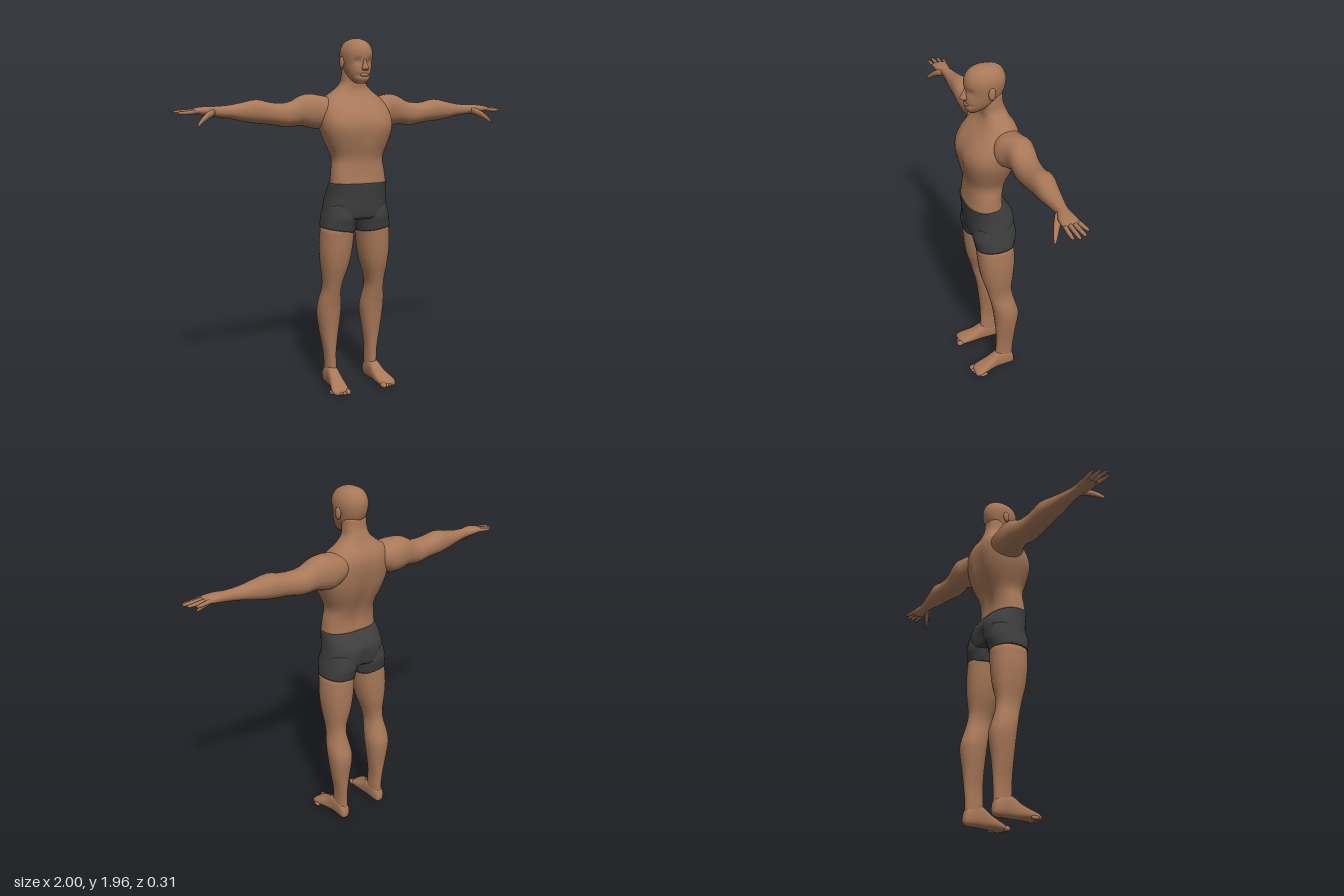
import * as THREE from 'three';

const skin = new THREE.MeshStandardMaterial({ color: 0xa87858 });
skin.name = 'skin';
const cloth = new THREE.MeshStandardMaterial({ color: 0x3e3e3f });
cloth.name = 'dark cloth';

// Places (along-axis t, first a, second b) in space for each loft axis
const place = {
  y: (t, a, b) => new THREE.Vector3(a, t, b), // rows: y, x0, x1, z0, z1
  x: (t, a, b) => new THREE.Vector3(t, b, a), // rows: x, z0, z1, y0, y1
  z: (t, a, b) => new THREE.Vector3(b, a, t), // rows: z, y0, y1, x0, x1
};

// Smooth closed skin through superellipse rings given by their extents
function loft(axis, rows, { n = 28, sub = 4, e = 2.2, shape = null } = {}) {
  const rings = [];
  for (let i = 0; i < rows.length - 1; i++) {
    const p = [rows[Math.max(i - 1, 0)], rows[i], rows[i + 1], rows[Math.min(i + 2, rows.length - 1)]];
    for (let s = 0; s < sub; s++) {
      const u = s / sub;
      rings.push(rows[i].map((v, k) => {
        if (k === 0) return v + (rows[i + 1][0] - v) * u;
        const m0 = (p[2][k] - p[0][k]) / (p[2][0] - p[0][0]) * (p[2][0] - p[1][0]);
        const m1 = (p[3][k] - p[1][k]) / (p[3][0] - p[1][0]) * (p[2][0] - p[1][0]);
        const u2 = u * u, u3 = u2 * u;
        return (2 * u3 - 3 * u2 + 1) * v + (u3 - 2 * u2 + u) * m0 + (3 * u2 - 2 * u3) * p[2][k] + (u3 - u2) * m1;
      }));
    }
  }
  rings.push(rows[rows.length - 1]);
  const pos = [], idx = [];
  const put = (t, a, b) => {
    const v = place[axis](t, a, b);
    if (shape) shape(v);
    pos.push(v.x, v.y, v.z);
  };
  const power = (c) => Math.sign(c) * Math.pow(Math.abs(c), 2 / e);
  for (const [t, a0, a1, b0, b1] of rings) {
    for (let j = 0; j < n; j++) {
      const q = (j / n) * Math.PI * 2;
      put(t, (a0 + a1) / 2 + (a1 - a0) / 2 * power(Math.cos(q)), (b0 + b1) / 2 + (b1 - b0) / 2 * power(Math.sin(q)));
    }
  }
  const last = rings.length - 1, c0 = rings.length * n;
  for (const r of [rings[0], rings[last]]) put(r[0], (r[1] + r[2]) / 2, (r[3] + r[4]) / 2);
  for (let j = 0; j < n; j++) {
    const k = (j + 1) % n;
    for (let i = 0; i < last; i++) {
      const a = i * n + j, b = i * n + k;
      idx.push(a, a + n, b, b, a + n, b + n);
    }
    idx.push(c0, j, k, c0 + 1, last * n + k, last * n + j);
  }
  const g = new THREE.BufferGeometry();
  g.setAttribute('position', new THREE.Float32BufferAttribute(pos, 3));
  g.setIndex(idx);
  g.computeVertexNormals();
  return g;
}

// Mirrored copy across x = 0, with the corner order turned round
function mirror(geo) {
  const g = geo.clone();
  const p = g.attributes.position;
  for (let i = 0; i < p.count; i++) p.setX(i, -p.getX(i));
  const ix = g.index.array;
  for (let i = 0; i < ix.length; i += 3) [ix[i], ix[i + 1]] = [ix[i + 1], ix[i]];
  g.computeVertexNormals();
  return g;
}

const bump = (v, c, w) => Math.exp(-(((v - c) / w) ** 2));

export function createModel() {
  const model = new THREE.Group();
  model.name = 'man';
  const add = (name, geo, mat = skin) => {
    const m = new THREE.Mesh(geo, mat);
    m.name = name;
    model.add(m);
  };
  const pair = (name, geo, mat = skin) => {
    add('left' + name, geo, mat);
    add('right' + name, mirror(geo), mat);
  };
  const ball = (x, y, z, rx, ry, rz) =>
    new THREE.SphereGeometry(1, 14, 10).scale(rx, ry, rz).translate(x, y, z);

  // Torso with neck; grooves for the spine and the breastbone
  add('torso', loft('y', [
    [1.175, -.163, .163, -.07, .13], [1.25, -.155, .155, -.068, .12], [1.32, -.147, .147, -.085, .118],
    [1.4, -.178, .178, -.118, .138], [1.46, -.2, .2, -.138, .15], [1.51, -.208, .208, -.148, .148],
    [1.56, -.205, .205, -.154, .125], [1.61, -.19, .19, -.152, .085], [1.65, -.16, .16, -.138, .05],
    [1.685, -.112, .112, -.115, .03], [1.72, -.075, .075, -.1, .027], [1.76, -.066, .066, -.085, .03],
    [1.81, -.062, .062, -.08, .03],
  ], {
    n: 40, e: 2.4, shape: (v) => {
      if (v.z < -.04) v.z += .016 * bump(v.x, 0, .035) * bump(v.y, 1.42, .2);
      if (v.z > .04) v.z -= .01 * bump(v.x, 0, .025) * bump(v.y, 1.48, .09);
    },
  }));

  // Head with eye hollows
  add('head', loft('y', [
    [1.722, -.026, .026, .045, .098], [1.745, -.046, .046, -.01, .113], [1.78, -.064, .064, -.06, .115],
    [1.82, -.075, .075, -.088, .113], [1.87, -.083, .083, -.1, .117], [1.905, -.08, .08, -.097, .112],
    [1.935, -.065, .065, -.082, .092], [1.952, -.046, .046, -.062, .066], [1.962, -.02, .02, -.03, .035],
  ], {
    n: 36, e: 2.1, shape: (v) => {
      if (v.z > .05) v.z -= .014 * bump(Math.abs(v.x), .035, .018) * bump(v.y, 1.838, .016);
      if (v.z > .08) v.z -= .008 * bump(v.y, 1.765, .006);
    },
  }));
  add('nose', loft('y', [
    [1.79, -.012, .012, .09, .122], [1.798, -.019, .019, .09, .138], [1.808, -.016, .016, .09, .14],
    [1.83, -.01, .01, .09, .127], [1.85, -.009, .009, .09, .117],
  ], { n: 14 }));
  add('lips', ball(0, 1.768, .108, .025, .011, .011));
  pair('Ear', ball(.083, 1.835, 0, .011, .033, .02));

  // Arm from shoulder to palm
  pair('Arm', loft('x', [
    [.1, -.13, .0, 1.53, 1.645], [.19, -.154, .035, 1.48, 1.66], [.25, -.155, .008, 1.485, 1.668],
    [.3, -.147, 0, 1.497, 1.657], [.35, -.14, 0, 1.492, 1.63], [.4, -.135, 0, 1.492, 1.62],
    [.47, -.13, -.002, 1.505, 1.622], [.55, -.13, -.008, 1.512, 1.638], [.63, -.115, -.012, 1.525, 1.623],
    [.7, -.1, -.02, 1.54, 1.61], [.78, -.084, -.025, 1.55, 1.604], [.83, -.086, -.008, 1.555, 1.604],
    [.87, -.09, -.002, 1.562, 1.6], [.9, -.086, -.004, 1.57, 1.594],
  ], { sub: 3 }));

  // Fingers: root z, tip z, tip x
  [[-.078, -.094, .96], [-.057, -.066, .99], [-.035, -.036, 1], [-.014, -.01, .985]].forEach(([z0, z1, tip], i) => {
    const y = 1.578 - (i === 3 ? .006 : 0);
    pair('Finger' + (i + 1), loft('x', [
      [.87, z0 - .011, z0 + .011, 1.57, 1.594],
      [(.87 + tip) / 2, (z0 + z1) / 2 - .01, (z0 + z1) / 2 + .01, y - .009, y + .012],
      [tip - .012, z1 - .008, z1 + .008, y - .007, y + .007], [tip, z1 - .003, z1 + .003, y - .003, y + .003],
    ], { n: 10, sub: 2, e: 2 }));
  });
  pair('Thumb', loft('x', [
    [.79, -.045, -.012, 1.555, 1.59], [.825, -.03, .008, 1.54, 1.58], [.86, -.005, .024, 1.52, 1.553],
    [.885, .014, .034, 1.503, 1.527], [.897, .026, .036, 1.496, 1.506],
  ], { n: 12, sub: 2, e: 2 }));

  // Shorts: hips with a rear cleft, and two short legs with a slanted hem
  add('shortsHips', loft('y', [
    [.985, -.18, .18, -.11, .1], [1.0, -.189, .189, -.126, .113], [1.045, -.185, .185, -.136, .12],
    [1.1, -.176, .176, -.134, .125], [1.15, -.17, .17, -.105, .13], [1.185, -.167, .167, -.073, .133],
  ], {
    n: 40, e: 2.4, shape: (v) => {
      if (v.z < -.04) v.z += .025 * bump(v.x, 0, .025) * bump(v.y, 1.03, .07);
    },
  }), cloth);
  pair('ShortsLeg', loft('y', [
    [.922, .016, .204, -.115, .099], [.96, .008, .2, -.124, .106],
    [1.0, .002, .194, -.131, .114], [1.07, .012, .178, -.12, .1],
  ], { shape: (v) => { if (v.y < .99) v.y += (v.x - .11) * .16 * (.99 - v.y) / .068; } }), cloth);

  // Leg from thigh to ankle
  pair('Leg', loft('y', [
    [.05, .1, .162, -.118, -.005], [.12, .1, .16, -.119, -.012], [.2, .1, .166, -.124, -.014],
    [.3, .087, .185, -.132, -.01], [.43, .07, .203, -.146, .004], [.5, .075, .2, -.128, .016],
    [.57, .086, .186, -.108, .033], [.63, .077, .187, -.1, .048], [.72, .048, .199, -.112, .075],
    [.82, .028, .206, -.118, .09], [.95, .016, .197, -.116, .1],
  ], { sub: 3 }));

  // Foot and toes
  pair('Foot', loft('z', [
    [-.127, .022, .05, .118, .147], [-.115, .008, .09, .104, .16], [-.07, .006, .12, .098, .165],
    [-.02, .006, .12, .098, .168], [.03, .006, .085, .096, .178], [.08, .006, .06, .096, .193],
    [.115, .005, .045, .1, .198], [.135, .008, .032, .106, .19],
  ], { sub: 3, e: 2.6 }));
  for (let i = 0; i < 5; i++) {
    const r = i ? .011 : .016;
    pair('Toe' + (i + 1), ball(.113 + i * .019 + (i ? .003 : 0), r + .004, .13 - i * i * .0025, r, r, .026));
  }

  // Rest the soles on the ground
  const low = new THREE.Box3().setFromObject(model).min.y;
  model.children.forEach((m) => m.geometry.translate(0, -low, 0));
  return model;
}
